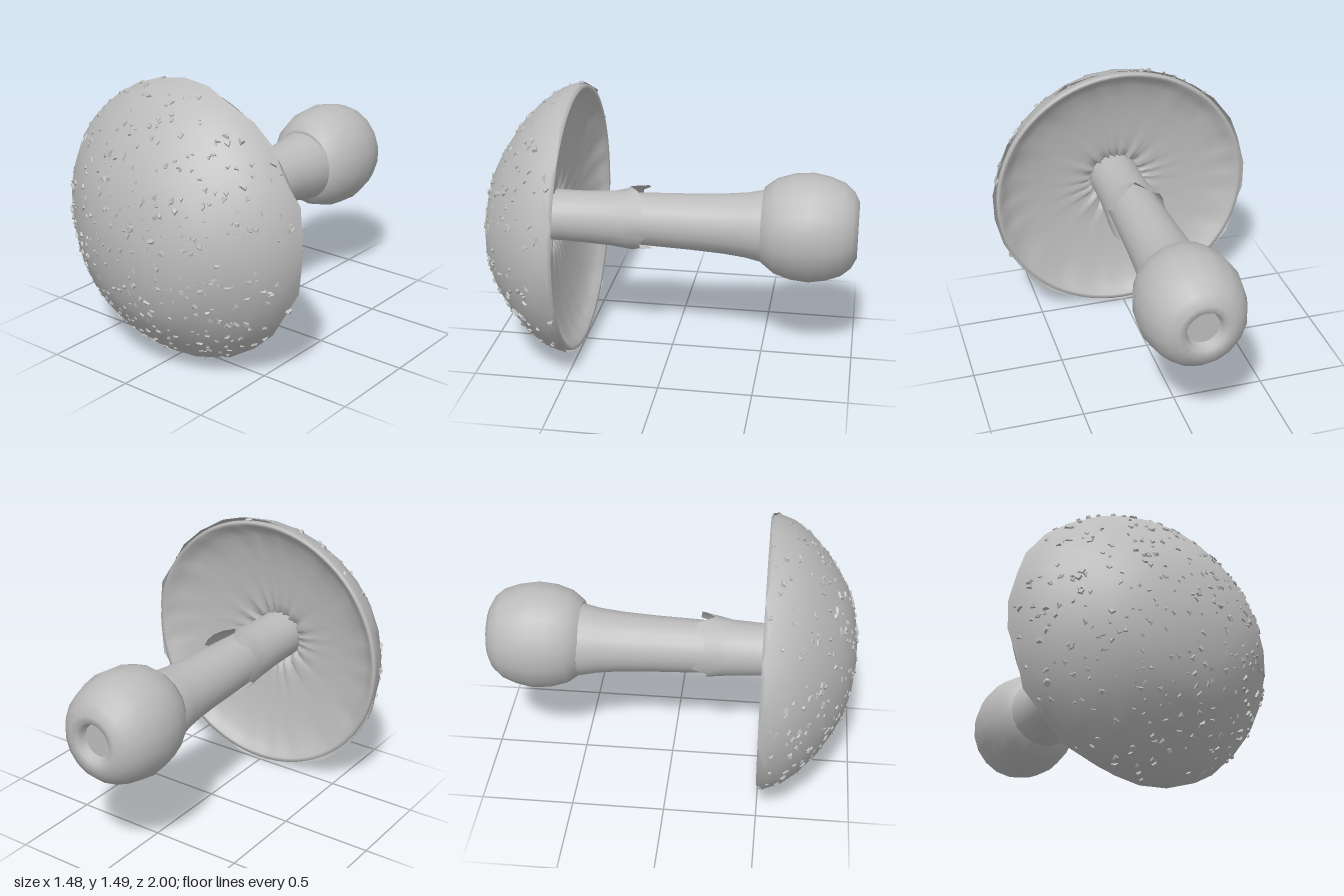
import * as THREE from 'three';
import { mergeGeometries, mergeVertices } from 'three/addons/utils/BufferGeometryUtils.js';

// small seeded random
let seed = 7;
const rnd = () => {
  seed = (seed * 16807) % 2147483647;
  return seed / 2147483647;
};

// Turned shape about the z axis from [radius, z] points; warp(v, angle) moves each vertex
function turned(profile, segments, warp) {
  const geo = new THREE.LatheGeometry(profile.map(([r, z]) => new THREE.Vector2(r, z)), segments);
  geo.rotateX(Math.PI / 2);
  geo.deleteAttribute('uv');
  geo.deleteAttribute('normal');
  const merged = mergeVertices(geo, 1e-5);
  const pos = merged.attributes.position;
  const v = new THREE.Vector3();
  for (let i = 0; i < pos.count; i++) {
    v.fromBufferAttribute(pos, i);
    warp(v, Math.atan2(v.y, v.x));
    pos.setXYZ(i, v.x, v.y, v.z);
  }
  merged.computeVertexNormals();
  return merged;
}

const scaleRadius = (v, k) => { v.x *= k; v.y *= k; };

// the crown leans to +x and slightly down
const leanBy = (v) => {
  const t = Math.max(0, (v.z - 0.5) / 0.5) ** 2;
  v.x += 0.06 * t;
  v.y -= 0.025 * t;
};

// cap outer surface, rim to crown
const capProfile = [
  [0.745, 0.5], [0.735, 0.55], [0.71, 0.62], [0.645, 0.71], [0.545, 0.805],
  [0.43, 0.885], [0.335, 0.935], [0.22, 0.97], [0.1, 0.988], [0, 0.99],
];

// height and slope of the cap at a radius
function capAt(r) {
  const i = capProfile.findIndex(([r1]) => r1 < r);
  const [r0, z0] = capProfile[i - 1], [r1, z1] = capProfile[i];
  return { z: z0 + (z1 - z0) * (r0 - r) / (r0 - r1), nr: z1 - z0, nz: r0 - r1 };
}

// Angular shards scattered evenly over the cap
function chips(count) {
  const list = [];
  const up = new THREE.Vector3(0, 1, 0);
  const addChip = (r, a, size, sides) => {
    const { z, nr, nz } = capAt(r);
    const normal = new THREE.Vector3(nr * Math.cos(a), nr * Math.sin(a), nz).normalize();
    const geo = new THREE.CylinderGeometry(size * 0.65, size, size * 0.7, sides).toNonIndexed();
    geo.deleteAttribute('uv');
    geo.scale(0.55 + rnd() * 0.5, 1, 0.8 + rnd() * 0.5);
    geo.rotateY(rnd() * Math.PI * 2);
    geo.rotateX((rnd() - 0.5) * 0.9);
    geo.applyQuaternion(new THREE.Quaternion().setFromUnitVectors(up, normal));
    const at = new THREE.Vector3(r * Math.cos(a), r * Math.sin(a), z);
    leanBy(at);
    geo.translate(at.x, at.y, at.z);
    geo.computeVertexNormals();
    list.push(geo);
  };
  for (let i = 0; i < count; i++) {
    const r = 0.742 * Math.pow((i + 0.1 + 0.8 * rnd()) / count, 0.45);
    addChip(r, i * 2.39996 + rnd() * 1.2, 0.011 + 0.013 * rnd(), rnd() < 0.7 ? 3 : 4);
  }
  // a few larger warts
  for (const [x, y, s] of [[-0.01, 0.575, 0.03], [0, 0.135, 0.03], [0.13, 0.1, 0.026], [-0.59, -0.38, 0.026]]) {
    addChip(Math.hypot(x, y), Math.atan2(y, x), s, 6);
  }
  return mergeGeometries(list);
}

export function createModel() {
  seed = 7;
  const group = new THREE.Group();
  const grey = new THREE.MeshStandardMaterial({ color: 0xbcbcbc, side: THREE.DoubleSide });
  grey.name = 'plain grey';
  const add = (name, geo, y) => {
    const mesh = new THREE.Mesh(geo, grey);
    mesh.name = name;
    mesh.position.y = y;
    group.add(mesh);
    return mesh;
  };

  // cap skin with a ragged lower edge
  add('capSkin', turned(capProfile, 30, (v, a) => {
    if (v.z < 0.51) v.z += 0.045 * Math.pow(Math.abs(Math.sin(a * 7 + Math.sin(a * 3))), 3) - 0.005;
    scaleRadius(v, 1 + 0.006 * Math.sin(a * 5 + 1));
    leanBy(v);
  }), 0.745);

  add('capChips', chips(360), 0.745);

  // shallow underside with a turned-down lip, creased where it meets the stem
  const under = [
    [0.12, 0.73], [0.137, 0.68], [0.165, 0.652], [0.22, 0.64], [0.3, 0.632], [0.42, 0.618],
    [0.54, 0.594], [0.63, 0.565], [0.68, 0.532], [0.705, 0.502], [0.725, 0.496], [0.73, 0.52], [0.7, 0.6],
  ];
  add('capUnderside', turned(under, 80, (v, a) => {
    const r = Math.hypot(v.x, v.y);
    const fold = Math.sin(a * 19 + 2 * Math.sin(a * 4)) + 0.6 * Math.sin(a * 31 + 1);
    if (r < 0.32) v.z += 0.008 * fold * (0.32 - r) / 0.17;
    else if (r > 0.6 && r < 0.69) v.z += 0.005 * fold;
    if (r < 0.17) scaleRadius(v, 1 + 0.05 * fold);
  }), 0.745);

  // stem
  add('stem', turned([
    [0.19, -0.55], [0.195, -0.49], [0.176, -0.4], [0.163, -0.28], [0.153, -0.1],
    [0.146, 0.1], [0.138, 0.3], [0.135, 0.5], [0.138, 0.74],
  ], 20, (v) => { v.x -= 0.008; }), 0.755);

  // torn skirt round the stem, flaring at its free edge
  add('skirt', turned([
    [0.166, 0.17], [0.16, 0.25], [0.152, 0.32], [0.144, 0.46], [0.139, 0.6], [0.141, 0.7],
  ], 24, (v, a) => {
    if (v.z > 0.3) return;
    const edge = v.z < 0.2;
    if (edge) v.z += 0.04 * Math.sin(a * 5 + 0.6) + 0.025 * Math.sin(a * 9);
    const top = Math.max(0, Math.sin(a));
    scaleRadius(v, 1 + (edge ? 0.16 : 0.06) * top * top);
  }), 0.752);

  // swollen base, open at its end
  add('bulb', turned([
    [0.088, -0.94], [0.098, -0.97], [0.11, -0.995], [0.15, -1.0], [0.205, -0.972],
    [0.25, -0.92], [0.28, -0.84], [0.296, -0.75], [0.287, -0.65], [0.258, -0.56],
    [0.207, -0.493], [0.18, -0.5],
  ], 18, (v) => { v.x *= 0.95; }), 0.765);

  // flat floor inside the opening
  const floor = add('bulbFloor', new THREE.CircleGeometry(0.092, 18), 0.765);
  floor.rotation.y = Math.PI;
  floor.position.z = -0.945;

  return group;
}
